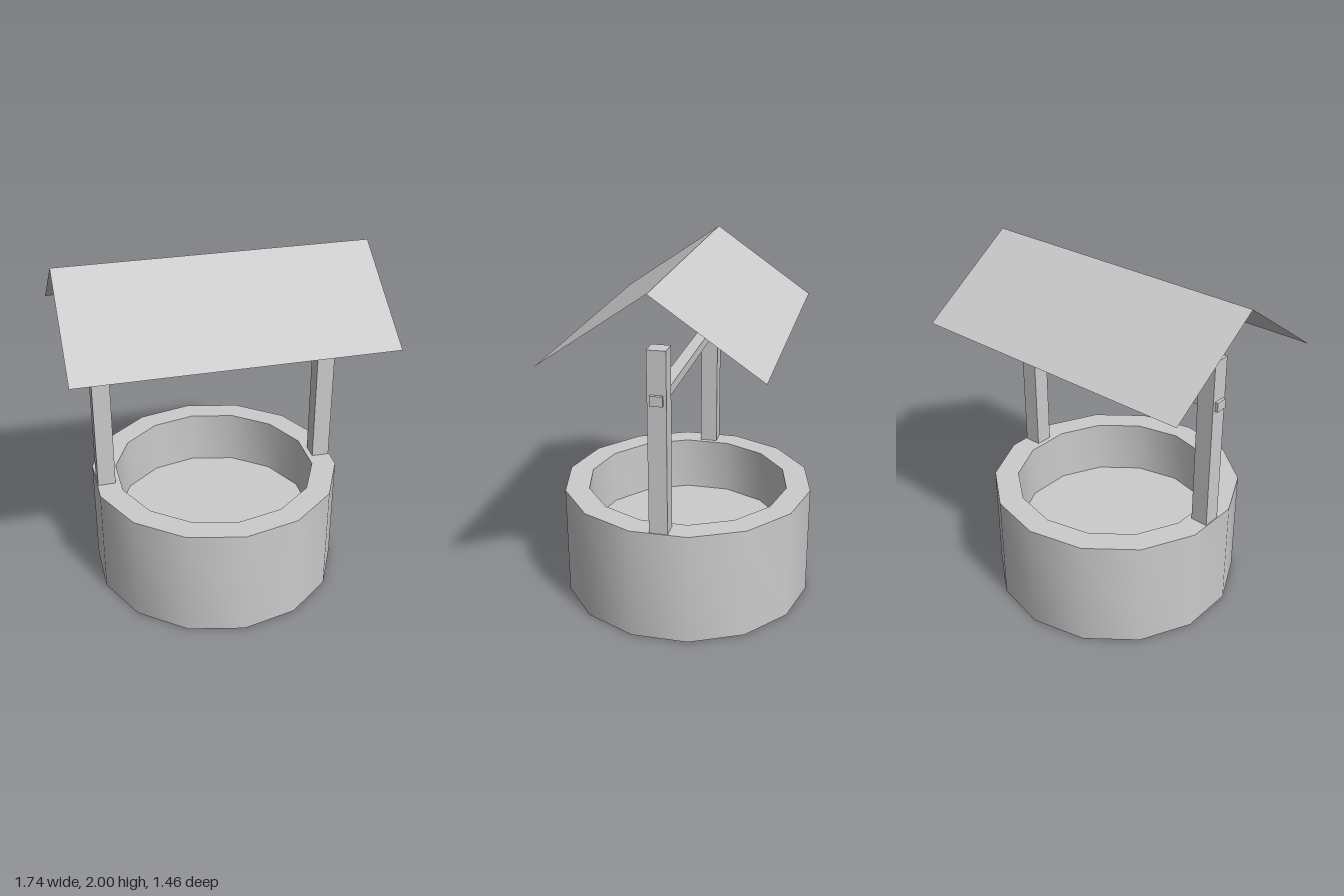
import * as THREE from 'three';
import { toCreasedNormals } from 'three/addons/utils/BufferGeometryUtils.js';

export function createModel() {
  const group = new THREE.Group();
  const grey = new THREE.MeshStandardMaterial({ color: 0xcccccc, side: THREE.DoubleSide });
  grey.name = 'grey';

  const add = (name, geometry, x = 0, y = 0, z = 0) => {
    const mesh = new THREE.Mesh(geometry, grey);
    mesh.name = name;
    mesh.position.set(x, y, z);
    group.add(mesh);
    return mesh;
  };

  const SIDES = 14, OUTER = 0.73, INNER = 0.59, HEIGHT = 0.655;

  // Hollow well wall: smooth around, sharp at the rims
  const profile = [[INNER, 0], [OUTER, 0], [OUTER, HEIGHT], [INNER, HEIGHT], [INNER, 0]]
    .map(([r, y]) => new THREE.Vector2(r, y));
  add('wellWall', toCreasedNormals(new THREE.LatheGeometry(profile, SIDES), Math.PI / 4));

  // Water surface halfway up the wall
  const water = new THREE.CircleGeometry(INNER, SIDES, Math.PI / 2);
  water.rotateX(-Math.PI / 2);
  add('waterSurface', water, 0, 0.328);

  // Posts standing in the wall
  const postBottom = 0.6, postTop = 1.675;
  for (const [name, side] of [['leftPost', 1], ['rightPost', -1]]) {
    add(name, new THREE.BoxGeometry(0.102, postTop - postBottom, 0.102),
      side * 0.656, (postTop + postBottom) / 2, 0);
  }

  // Crossbar through both posts
  add('crossbar', new THREE.BoxGeometry(1.45, 0.055, 0.07), 0, 1.412, 0);

  // Two thin roof panels meeting at the ridge
  const eaveZ = 0.58, eaveY = 1.6, ridgeY = 2;
  const slope = Math.hypot(eaveZ, ridgeY - eaveY);
  const pitch = Math.atan2(ridgeY - eaveY, eaveZ);
  for (const [name, turn] of [['frontRoofPanel', 0], ['backRoofPanel', Math.PI]]) {
    const panel = new THREE.PlaneGeometry(1.74, slope);
    panel.rotateX(-Math.PI / 2 + pitch);
    panel.translate(0, (ridgeY + eaveY) / 2, eaveZ / 2);
    panel.rotateY(turn);
    add(name, panel);
  }

  return group;
}
